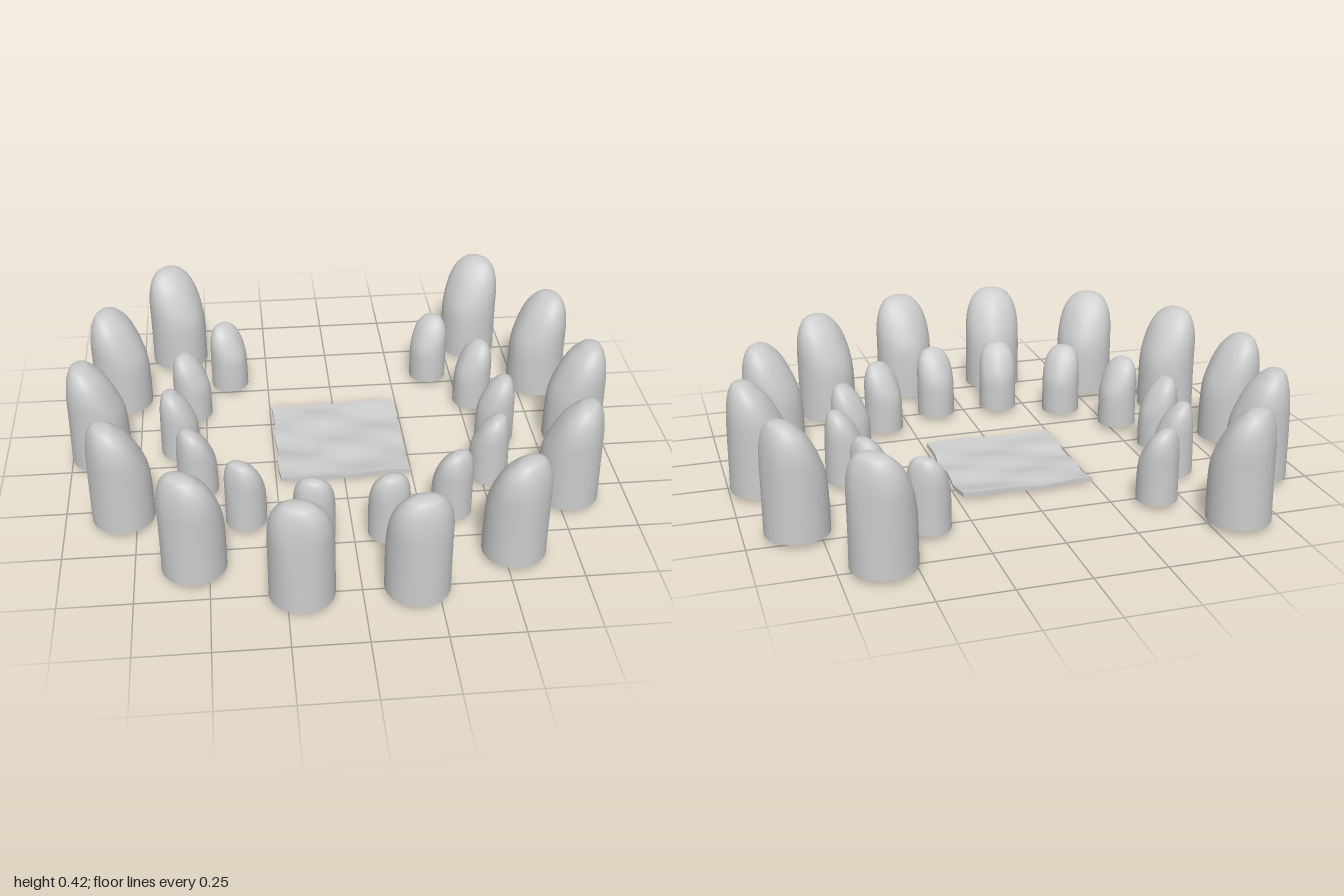
import * as THREE from 'three';
import { mergeVertices, mergeGeometries } from 'three/addons/utils/BufferGeometryUtils.js';

const material = new THREE.MeshStandardMaterial({ color: 0xcccccc });
const BASE = 0.018;

// Stone rings from base to crest: height, inner edge, outer edge, half width
const RINGS = [
  [0, -0.11, 0.11, 0.11], [0.1, -0.11, 0.11, 0.11], [0.2, -0.103, 0.11, 0.11],
  [0.28, -0.073, 0.108, 0.106], [0.34, -0.038, 0.1, 0.09], [0.378, 0, 0.086, 0.062],
  [0.392, 0.022, 0.07, 0.035], [0.397, 0.046, 0.046, 0],
];

// Rounded standing stone whose inner side (-z) slopes up to a crest near the outer side (+z)
function stoneGeometry() {
  const depth = new THREE.CatmullRomCurve3(RINGS.map(([y, i, o]) => new THREE.Vector3(i, y, o)), false, 'catmullrom');
  const width = new THREE.CatmullRomCurve3(RINGS.map(([y, , , w]) => new THREE.Vector3(w, y, 0)), false, 'catmullrom');
  const rows = 28, sides = 40;
  const unit = Array.from({ length: rows + 1 }, (_, k) => new THREE.Vector2(1, k));
  const body = new THREE.LatheGeometry(unit, sides);
  const p = body.attributes.position;
  for (let n = 0; n < p.count; n++) {
    const t = Math.round(p.getY(n)) / rows;
    const d = depth.getPoint(t), w = t === 1 ? 0 : width.getPoint(t).x;
    const angle = Math.atan2(p.getX(n), p.getZ(n));
    // Shallow weathered flutes, fading out at base and crest
    const flute = 1 - 0.018 * Math.sin(Math.PI * t) * (1 + Math.sin(5 * angle + 3 * t)) * (0.6 + 0.4 * Math.cos(2 * angle));
    p.setXYZ(n, p.getX(n) * w * flute, d.y, (d.x + d.z) / 2 + p.getZ(n) * (d.z - d.x) / 2 * flute);
  }
  body.deleteAttribute('uv');
  body.deleteAttribute('normal');
  const smooth = mergeVertices(body, 1e-5);
  smooth.computeVertexNormals();
  const bottom = new THREE.CircleGeometry(0.11, sides).rotateX(Math.PI / 2);
  bottom.deleteAttribute('uv');
  return mergeGeometries([smooth, bottom]);
}

// Thin rumpled square cloth with a flat underside
function clothGeometry() {
  const g = new THREE.BoxGeometry(0.476, 0.01, 0.476, 48, 1, 48);
  const p = g.attributes.position;
  for (let n = 0; n < p.count; n++) {
    const x = p.getX(n), z = p.getZ(n);
    const folds = 0.004 * Math.sin(28 * z + 5 * x + 1.2 * Math.sin(9 * x))
      + 0.003 * Math.sin(15 * x - 12 * z + 1) + 0.002 * Math.sin(41 * z - 17 * x);
    const lift = 0.008 * Math.pow(Math.abs(z) / 0.238, 4);
    const top = 0.017 + folds + lift;
    const y = p.getY(n) > 0 ? top : Math.max(0, top - 0.016);
    p.setXYZ(n, x + 0.003 * Math.sin(31 * z), y, z + 0.003 * Math.sin(27 * x));
  }
  g.computeVertexNormals();
  return g;
}

export function createModel() {
  const model = new THREE.Group();
  model.name = 'stoneCircle';
  const stone = stoneGeometry();

  function ring(name, spots, scale) {
    const group = new THREE.Group();
    group.name = name;
    spots.forEach(([x, z], k) => {
      const mesh = new THREE.Mesh(stone, material);
      mesh.name = `${name}Stone${k + 1}`;
      mesh.position.set(x, BASE, z);
      mesh.rotation.y = Math.atan2(x, z + 0.1); // sloping side faces the middle
      mesh.scale.setScalar(scale);
      group.add(mesh);
    });
    model.add(group);
  }

  // Horseshoes of stones, open at the back
  ring('outerRing', [
    [-0.6, -0.77], [-0.82, -0.455], [-0.89, -0.08], [-0.795, 0.295], [-0.55, 0.592], [-0.2, 0.76],
    [0.18, 0.762], [0.533, 0.602], [0.785, 0.31], [0.887, -0.06], [0.823, -0.44], [0.604, -0.758],
  ], 1);
  ring('innerRing', [
    [-0.4, -0.548], [-0.548, -0.34], [-0.596, -0.087], [-0.532, 0.162], [-0.367, 0.36], [-0.136, 0.47],
    [0.12, 0.472], [0.355, 0.366], [0.522, 0.17], [0.591, -0.078], [0.548, -0.333], [0.403, -0.543],
  ], 0.655);

  const cloth = new THREE.Mesh(clothGeometry(), material);
  cloth.name = 'groundCloth';
  cloth.position.set(0, 0, -0.103);
  cloth.rotation.y = 0.012;
  model.add(cloth);
  return model;
}
